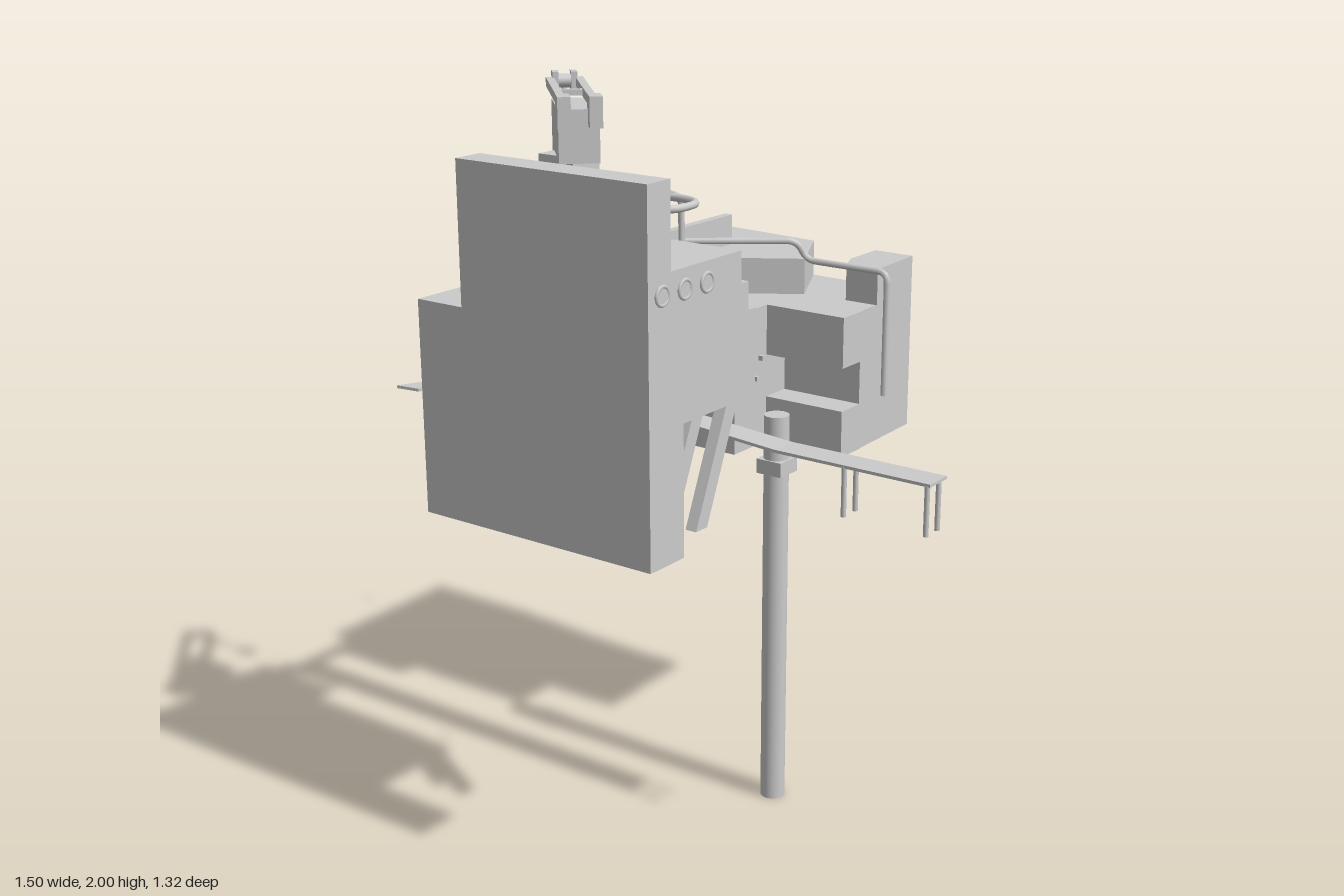
import * as THREE from 'three';

const grey = new THREE.MeshStandardMaterial({ color: 0xcccccc, flatShading: true });
const smooth = new THREE.MeshStandardMaterial({ color: 0xcccccc });
const orange = new THREE.MeshStandardMaterial({ color: 0xd9982b });
const V = (x, y, z) => new THREE.Vector3(x, y, z);

export function createModel() {
  const model = new THREE.Group();

  const add = (name, geometry, material = grey, parent = model) => {
    const mesh = new THREE.Mesh(geometry, material);
    mesh.name = name;
    parent.add(mesh);
    return mesh;
  };
  // box from its min and max on each axis
  const box = (name, x0, x1, y0, y1, z0, z1, material = grey, parent = model) =>
    add(name, new THREE.BoxGeometry(x1 - x0, y1 - y0, z1 - z0)
      .translate((x0 + x1) / 2, (y0 + y1) / 2, (z0 + z1) / 2), material, parent);
  const extrude = (pts, depth) => new THREE.ExtrudeGeometry(
    new THREE.Shape(pts.map(p => new THREE.Vector2(p[0], p[1]))), { depth, bevelEnabled: false });
  // side profile of [z, y] points, swept along x
  const sweepX = (name, pts, x0, x1) =>
    add(name, extrude(pts, x1 - x0).rotateY(-Math.PI / 2).translate(x1, 0, 0));
  // floor plan of [x, z] points, raised along y
  const planGeometry = (pts, y0, y1) =>
    extrude(pts.map(([x, z]) => [x, -z]), y1 - y0).rotateX(-Math.PI / 2).translate(0, y0, 0);
  const cylinder = (name, r, x, y0, y1, z, sides = 12, material = smooth, parent = model) =>
    add(name, new THREE.CylinderGeometry(r, r, y1 - y0, sides).translate(x, (y0 + y1) / 2, z), material, parent);
  // pipe with short rounded bends at each corner
  const pipe = (name, pts, r, bend = 0.03) => {
    const path = new THREE.CurvePath();
    let last = pts[0];
    for (let i = 1; i < pts.length - 1; i++) {
      const step = (to) => to.clone().sub(pts[i]).setLength(
        Math.min(bend, to.distanceTo(pts[i]) * 0.45)).add(pts[i]);
      const a = step(pts[i - 1]), b = step(pts[i + 1]);
      path.add(new THREE.LineCurve3(last, a));
      path.add(new THREE.QuadraticBezierCurve3(a, pts[i], b));
      last = b;
    }
    path.add(new THREE.LineCurve3(last, pts[pts.length - 1]));
    return add(name, new THREE.TubeGeometry(path, 120, r, 8), smooth);
  };

  // front building: tall wall with stepped body behind it
  sweepX('frontBuilding', [
    [0.66, 0.945], [0.66, 1.86], [0.575, 1.86], [0.575, 1.65], [0.30, 1.65], [0.30, 1.57],
    [0.27, 1.57], [0.27, 1.5], [0.24, 1.5], [0.24, 1.28], [0.53, 1.28], [0.53, 0.945]], -0.255, 0.315);
  sweepX('frontBuildingWing', [
    [0.66, 0.945], [0.66, 1.5], [0.44, 1.5], [0.44, 1.625], [0.305, 1.625], [0.305, 1.5],
    [0.165, 1.5], [0.165, 1.28], [0.53, 1.28], [0.53, 0.945]], -0.40, -0.255);

  // portholes on the side
  for (const z of [0.61, 0.525, 0.44]) {
    add('porthole', new THREE.TorusGeometry(0.022, 0.005, 6, 20)
      .rotateY(Math.PI / 2).translate(0.317, 1.6, z), smooth);
    add('portholeGlass', new THREE.CylinderGeometry(0.02, 0.02, 0.006, 20)
      .rotateZ(Math.PI / 2).translate(0.316, 1.6, z), smooth);
  }

  // thin light strips and vents on the rear face
  box('lightStrip', -0.22, 0.28, 1.49, 1.497, 0.235, 0.242, orange);
  for (const y of [1.43, 1.36, 1.31])
    for (const x of [0.19, 0.02]) box('vent', x - 0.04, x + 0.04, y, y + 0.005, 0.236, 0.242, orange);

  // slanted struts below the body
  for (const x of [0.26, 0.17, -0.27, -0.36])
    sweepX('strut', [[0.25, 1.285], [0.385, 0.97], [0.43, 0.97], [0.295, 1.285]], x - 0.016, x + 0.016);

  // rear building on an angled plan
  add('rearBuilding', planGeometry([
    [-0.44, -0.66], [-0.44, -0.11], [0.005, -0.11], [0.005, -0.35],
    [0.25, -0.35], [0.24, -0.63], [-0.09, -0.635]], 0.97, 1.36));
  box('rearLowerBay', 0.005, 0.252, 0.97, 1.10, -0.36, -0.26);
  box('rearUpperBay', 0.005, 0.252, 1.22, 1.36, -0.36, -0.26);
  add('rearRoof', planGeometry([
    [-0.44, -0.66], [-0.43, -0.13], [0.02, -0.42], [-0.09, -0.635]], 1.36, 1.46));
  add('rearRoofBox', planGeometry([
    [0.12, -0.63], [0.12, -0.5], [0.15, -0.43], [0.25, -0.43], [0.24, -0.63]], 1.36, 1.46));
  for (const [y0, y1] of [[1.21, 1.28], [1.30, 1.36]])
    add('rearLedge', planGeometry([
      [-0.44, -0.12], [-0.44, -0.05], [-0.255, -0.05], [-0.225, -0.105], [-0.225, -0.12]], y0, y1));

  // beam and pipe joining the two buildings
  sweepX('beam', [[0.24, 1.545], [-0.46, 1.545], [-0.46, 1.46], [-0.22, 1.46],
    [-0.22, 1.515], [0.24, 1.515]], -0.28, -0.255);
  pipe('bridgePipe', [V(-0.265, 1.51, 0.27), V(-0.265, 1.51, -0.21), V(0.0, 1.51, -0.41),
    V(0.02, 1.455, -0.43), V(0.28, 1.455, -0.43), V(0.28, 1.11, -0.43)], 0.009);

  // roof handrail with its looping end
  pipe('handrail', [V(-0.22, 1.51, 0.25), V(-0.22, 1.75, 0.25), V(0.1, 1.75, 0.25),
    V(0.1, 1.5, 0.25)], 0.008);
  pipe('loopPipe', [V(-0.24, 1.75, 0.285), V(0.2, 1.75, 0.285), V(0.2, 1.75, 0.435),
    V(-0.2, 1.75, 0.435), V(-0.2, 1.64, 0.435)], 0.01, 0.09);

  // pole with collar
  cylinder('pole', 0.034, 0.16, 0, 1.12, -0.085, 24);
  box('poleCollar', 0.122, 0.2, 0.96, 1.0, -0.125, -0.047);

  // bent gangway, dropping toward the model's left
  const stations = [[0.75, 0.05, 0.75, 0.13], [0.3, 0.05, 0.3, 0.13], [-0.4, 0.05, -0.4, 0.13],
    [-0.53, 0.05, -0.51, 0.13], [-0.63, 0.12, -0.61, 0.19], [-0.755, 0.40, -0.685, 0.39]];
  for (let i = 0; i < stations.length - 1; i++) {
    const [a, b, c, d] = stations[i], [e, f, g, h] = stations[i + 1];
    const geometry = planGeometry([[a, b], [e, f], [g, h], [c, d]], 1.098, 1.106);
    const p = geometry.attributes.position;
    for (let k = 0; k < p.count; k++)
      p.setY(k, p.getY(k) + 0.05 * THREE.MathUtils.clamp((0.3 - p.getX(k)) / 0.7, 0, 1));
    geometry.computeVertexNormals();
    add('gangway', geometry);
  }
  for (const [x, y0, y1] of [[0.74, 0.97, 1.1], [0.505, 0.97, 1.1], [-0.42, 0.92, 1.15], [-0.57, 0.92, 1.15]])
    for (const z of [0.07, 0.125])
      cylinder('gangwayLeg', 0.007, x, y0, y1, x < -0.5 ? z + 0.02 : z, 8);

  // crane: column and a head turned toward the rear corner
  box('craneColumn', -0.22, -0.11, 1.64, 1.84, 0.305, 0.405);
  box('craneBase', -0.245, -0.09, 1.64, 1.67, 0.29, 0.46);
  const crane = new THREE.Group();
  crane.name = 'crane';
  crane.position.set(-0.15, 0, 0.345);
  crane.rotation.y = Math.PI / 4;
  model.add(crane);
  box('craneHead', -0.05, 0.05, 1.83, 1.96, -0.1, 0.1, grey, crane);
  for (const s of [-1, 1]) {
    box('boomArm', s * 0.038 - 0.01, s * 0.038 + 0.01, 1.962, 1.985, -0.31, 0.13, grey, crane);
    box('boomHinge', s * 0.038 - 0.016, s * 0.038 + 0.016, 1.92, 1.995, 0.08, 0.14, grey, crane);
    box('boomTip', s * 0.024 - 0.008, s * 0.024 + 0.008, 1.95, 2.0, -0.33, -0.29, grey, crane);
  }
  box('boomBrace', -0.04, 0.04, 1.965, 1.98, -0.12, -0.1, grey, crane);
  add('boomPulley', new THREE.CylinderGeometry(0.018, 0.018, 0.06, 12)
    .rotateZ(Math.PI / 2).translate(0, 1.975, -0.31), smooth, crane);

  // hoist rope and weight
  cylinder('hoistRope', 0.006, -0.37, 1.7, 1.97, 0.127, 8);
  cylinder('ropeJoint', 0.011, -0.37, 1.835, 1.85, 0.127, 8);
  add('hoistWeight', new THREE.LatheGeometry([[0, 1.665], [0.018, 1.667], [0.025, 1.685],
    [0.025, 1.705], [0.012, 1.712], [0, 1.712]].map(p => new THREE.Vector2(...p)), 16)
    .translate(-0.37, 0, 0.127), smooth);

  // small floating cubes around the buildings
  for (const [x, y, z] of [[-0.565, 1.45, -0.425], [-0.45, 1.5, 0.08], [0.3, 1.36, 0.19],
    [0.02, 1.17, -0.19], [-0.445, 1.36, 0.37]])
    box('floatingCube', x - 0.006, x + 0.006, y - 0.006, y + 0.006, z - 0.006, z + 0.006);

  return model;
}
